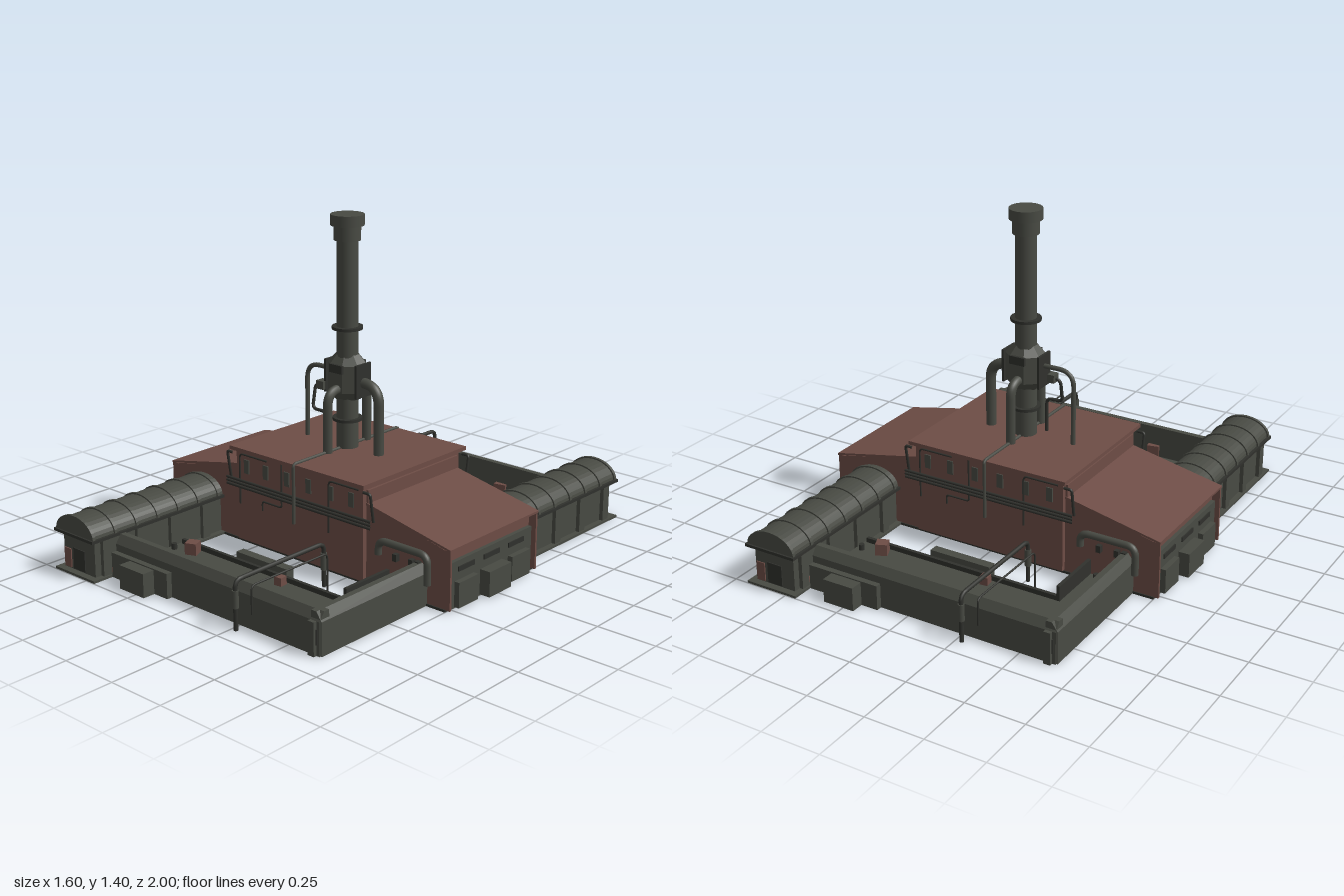
import * as THREE from 'three';

const red = new THREE.MeshStandardMaterial({ color: 0x6e4d46 });
red.name = 'rust red';
const grey = new THREE.MeshStandardMaterial({ color: 0x484a43 });
grey.name = 'iron grey';
const dark = new THREE.MeshStandardMaterial({ color: 0x30312d });
dark.name = 'dark iron';

function add(parent, name, geo, mat) {
  const m = new THREE.Mesh(geo, mat);
  m.name = name;
  parent.add(m);
  return m;
}

// box given by its lower and upper limits on each axis
function box(parent, name, mat, x0, x1, y0, y1, z0, z1) {
  const m = add(parent, name, new THREE.BoxGeometry(x1 - x0, y1 - y0, z1 - z0), mat);
  m.position.set((x0 + x1) / 2, (y0 + y1) / 2, (z0 + z1) / 2);
  return m;
}

// upright cylinder from y0 to y1
function drum(parent, name, mat, r0, r1, y0, y1, sides = 20, x = 0, z = 0) {
  const m = add(parent, name, new THREE.CylinderGeometry(r1, r0, y1 - y0, sides), mat);
  m.position.set(x, (y0 + y1) / 2, z);
  return m;
}

// pipe through corner points with rounded bends
function pipe(parent, name, mat, r, bend, pts) {
  const p = pts.map(a => new THREE.Vector3(...a));
  const path = new THREE.CurvePath();
  let from = p[0];
  for (let i = 1; i < p.length - 1; i++) {
    const a = p[i].clone().add(p[i - 1].clone().sub(p[i]).setLength(bend));
    const b = p[i].clone().add(p[i + 1].clone().sub(p[i]).setLength(bend));
    path.add(new THREE.LineCurve3(from, a));
    path.add(new THREE.QuadraticBezierCurve3(a, p[i], b));
    from = b;
  }
  path.add(new THREE.LineCurve3(from, p[p.length - 1]));
  return add(parent, name, new THREE.TubeGeometry(path, 48, r, 10), mat);
}

// outline in x,y pushed along z
function prism(parent, name, mat, pts, z0, z1) {
  const shape = new THREE.Shape(pts.map(a => new THREE.Vector2(...a)));
  const geo = new THREE.ExtrudeGeometry(shape, { depth: z1 - z0, bevelEnabled: false });
  geo.translate(0, 0, z0);
  return add(parent, name, geo, mat);
}

function addVault(g) {
  const v = new THREE.Group();
  v.name = 'barrelVault';
  v.position.x = -0.57;
  g.add(v);
  box(v, 'vaultFloor', grey, -0.12, 0.12, 0.005, 0.015, 0.28, 1);
  box(v, 'vaultBody', grey, -0.095, 0.095, 0.015, 0.18, 0.28, 0.97);
  box(v, 'vaultEaves', dark, -0.12, 0.12, 0.17, 0.182, 0.28, 1);
  const arch = (r, h) => Array.from({ length: 17 }, (_, i) => {
    const t = i / 16 * Math.PI;
    return [r * Math.cos(t), 0.18 + h * Math.sin(t)];
  });
  prism(v, 'vaultRoof', grey, arch(0.108, 0.073), 0.28, 0.985);
  for (let i = 0; i < 7; i++) {
    const z = 0.3 + i * 0.113;
    prism(v, 'vaultRib', grey, arch(0.115, 0.079), z, z + 0.014);
  }
  for (const s of [-1, 1]) for (let i = 0; i < 4; i++)
    box(v, 'vaultButtress', grey, s * 0.1 - 0.012, s * 0.1 + 0.012, 0.015, 0.17, 0.36 + i * 0.18, 0.4 + i * 0.18);
  box(v, 'endPanel', red, -0.09, -0.05, 0.02, 0.1, 0.968, 0.975);
  box(v, 'endDoor', dark, -0.035, 0.035, 0.02, 0.11, 0.968, 0.974);
  box(v, 'endCrate', red, 0.05, 0.1, 0.015, 0.04, 0.88, 0.93);
}

// low L-shaped yard with an outer parapet
function addYard(g) {
  box(g, 'yardFloor', grey, -0.46, 0.65, 0.005, 0.035, 0.52, 0.87);
  box(g, 'yardArmFloor', grey, 0.46, 0.65, 0.005, 0.035, 0.28, 0.52);
  const profile = [[0.6, 0.02], [0.66, 0.005], [0.66, 0.14], [0.635, 0.175], [0.61, 0.175]];
  prism(g, 'sideParapet', grey, profile, 0.28, 0.875);
  const front = prism(g, 'frontParapet', grey,
    profile.map(([u, y]) => [-u - 0.22, y]).reverse(), -0.45, 0.655);
  front.geometry.rotateY(Math.PI / 2);
  box(g, 'innerKerb', dark, -0.45, 0.47, 0.005, 0.055, 0.515, 0.53);
  box(g, 'innerArmKerb', dark, 0.455, 0.47, 0.005, 0.1, 0.28, 0.53);
  box(g, 'kerbCabinet', grey, -0.14, 0.14, 0.01, 0.08, 0.475, 0.515);
  box(g, 'frontLocker', grey, -0.45, -0.125, 0.005, 0.11, 0.87, 0.905);
  box(g, 'frontLockerBay', grey, -0.34, -0.2, 0.005, 0.105, 0.905, 0.96);
  box(g, 'cornerHatch', dark, 0.61, 0.645, 0.05, 0.11, 0.88, 0.886);
  box(g, 'cornerPost', grey, 0.61, 0.64, 0.005, 0.14, 0.875, 0.895);
  // crates and rivets on the yard floor
  [[-0.34, 0.57, 0.05, 0.4], [0.15, 0.56, 0.035, 0.1], [-0.19, 0.83, 0.055, 0.2]].forEach(([x, z, s, a]) => {
    const c = add(g, 'crate', new THREE.BoxGeometry(s, s, s), red);
    c.position.set(x, 0.035 + s / 2, z);
    c.rotation.y = a;
  });
  for (const [x, z] of [[-0.43, 0.59], [0.62, 0.83], [0.51, 0.31], [0.59, 0.31]])
    drum(g, 'floorValve', dark, 0.012, 0.012, 0.03, 0.06, 10, x, z);
  // pipes bridging the parapet
  pipe(g, 'bridgePipe', dark, 0.009, 0.03, [[0.28, 0.01, 0.93], [0.28, 0.21, 0.93], [0.28, 0.21, 0.45], [0.28, 0.03, 0.45]]);
  for (const z of [0.93, 0.45])
    drum(g, 'bridgePipeSleeve', grey, 0.013, 0.013, 0.1, 0.17, 12, 0.28, z);
  pipe(g, 'thinBridgePipe', dark, 0.004, 0.02, [[0.335, 0.08, 0.9], [0.335, 0.195, 0.9], [0.335, 0.195, 0.49], [0.335, 0.03, 0.49]]);
}

// wall fittings on one long side of the hall
function addFacade(g) {
  for (const x of [-0.29, -0.18, -0.06, 0.06, 0.18, 0.29])
    box(g, 'window', grey, x - 0.014, x + 0.014, 0.32, 0.38, 0.298, 0.305);
  for (const y of [0.258, 0.272, 0.286])
    pipe(g, 'wallPipe', dark, 0.006, 0.01, [[-0.4, y, 0.31], [0, y, 0.31], [0.4, y, 0.31]]);
  pipe(g, 'roofDrain', grey, 0.007, 0.015, [[0, 0.435, 0.05], [0, 0.435, 0.325], [0, 0.18, 0.325]]);
  pipe(g, 'wallConduit', dark, 0.004, 0.012, [[-0.2, 0.18, 0.302], [-0.2, 0.22, 0.302], [-0.09, 0.22, 0.302], [-0.09, 0.41, 0.302]]);
  for (const x of [-0.33, 0.17])
    pipe(g, 'wallConduit', dark, 0.004, 0.02, [[x, 0.18, 0.302], [x, 0.4, 0.302], [x + 0.16, 0.4, 0.302]]);
  for (const s of [-1, 1])
    pipe(g, 'cornerLoop', dark, 0.006, 0.012, [[s * 0.36, 0.4, 0.31], [s * 0.395, 0.4, 0.31], [s * 0.395, 0.28, 0.29]]);
  pipe(g, 'elbowPipe', grey, 0.015, 0.04, [[0.43, 0.16, 0.3], [0.43, 0.22, 0.3], [0.675, 0.22, 0.3], [0.675, 0.1, 0.3]]);
  for (const x of [0.51, 0.59, 0.62])
    box(g, 'wallValve', dark, x - 0.01, x + 0.01, 0.15, 0.18, 0.28, 0.3);
  // end wall at +x
  for (const z of [0.27, -0.28])
    box(g, 'wingSideWall', red, 0.73, 0.77, 0.012, 0.255, z, z + 0.01);
  prism(g, 'wingRoof', red, [[0.35, 0.338], [0.772, 0.253], [0.772, 0.262], [0.35, 0.348]], -0.283, 0.283);
  box(g, 'endWall', grey, 0.73, 0.752, 0.005, 0.195, -0.265, 0.265);
  box(g, 'endCabinet', grey, 0.75, 0.8, 0.01, 0.115, -0.07, 0.07);
  for (const z of [-0.17, 0.17])
    box(g, 'endCabinet', grey, 0.75, 0.775, 0.01, 0.115, z - 0.06, z + 0.06);
  for (const z of [-0.16, 0, 0.16])
    box(g, 'endVent', dark, 0.752, 0.757, 0.15, 0.17, z - 0.05, z + 0.05);
  box(g, 'sidePanel', red, 0.35, 0.36, 0.33, 0.4, -0.28, 0.28);
}

function addHall(g) {
  box(g, 'hallBase', dark, -0.75, 0.75, 0.004, 0.014, -0.285, 0.285);
  prism(g, 'hall', red, [[-0.735, 0.012], [0.735, 0.012], [0.735, 0.257], [0.35, 0.34], [-0.35, 0.34], [-0.735, 0.257]], -0.28, 0.28);
  box(g, 'centralBlock', red, -0.35, 0.35, 0.02, 0.418, -0.3, 0.3);
  box(g, 'centralRoof', red, -0.37, 0.37, 0.416, 0.432, -0.322, 0.322);
}

function addChimney(g) {
  const c = new THREE.Group();
  c.name = 'chimney';
  g.add(c);
  drum(c, 'stack', grey, 0.046, 0.044, 0.43, 1.31, 24);
  drum(c, 'stackNeck', grey, 0.055, 0.055, 1.3, 1.365, 24);
  drum(c, 'stackCap', grey, 0.069, 0.069, 1.36, 1.405, 24);
  drum(c, 'upperFlange', dark, 0.064, 0.064, 0.934, 0.946, 24);
  drum(c, 'lowerFlange', dark, 0.062, 0.062, 0.548, 0.56, 24);
  // faceted junction box
  const oct = [[0.055, 0.085, 0.64, 0.675], [0.085, 0.085, 0.675, 0.79], [0.085, 0.05, 0.79, 0.83]];
  for (const [a, b, y0, y1] of oct) {
    const m = drum(c, 'junction', grey, a, b, y0, y1, 8);
    m.geometry = m.geometry.toNonIndexed();
    m.geometry.computeVertexNormals();
    m.rotation.y = Math.PI / 8;
    m.scale.z = 0.8;
  }
  for (const s of [-1, 1]) {
    box(c, 'junctionFlange', dark, s * 0.084 - 0.005, s * 0.084 + 0.005, 0.66, 0.8, -0.045, 0.045);
    box(c, 'junctionHatch', dark, -0.035, 0.035, 0.76, 0.795, s * 0.068 - 0.006, s * 0.068 + 0.006);
    pipe(c, 'crossPipe', grey, 0.02, 0.06, [[0, 0.69, s * 0.04], [0, 0.69, s * 0.12], [0, 0.43, s * 0.12]]);
  }
  pipe(c, 'thickPipe', grey, 0.022, 0.08, [[0.07, 0.72, 0], [0.17, 0.72, 0], [0.17, 0.43, 0]]);
  pipe(c, 'longPipe', grey, 0.01, 0.07, [[-0.07, 0.75, 0], [-0.225, 0.75, 0], [-0.225, 0.43, 0]]);
  box(c, 'valveBox', grey, -0.12, -0.08, 0.67, 0.705, 0.02, 0.06);
  pipe(c, 'bypassPipe', dark, 0.007, 0.025, [[-0.08, 0.685, 0.04], [-0.14, 0.685, 0.04], [-0.14, 0.58, 0.06], [-0.065, 0.58, 0.06], [-0.065, 0.43, 0.06]]);
}

export function createModel() {
  const model = new THREE.Group();
  model.name = 'boilerHouse';
  addHall(model);
  addChimney(model);
  // the outbuildings repeat under a half turn
  for (const turn of [0, Math.PI]) {
    const half = new THREE.Group();
    half.name = turn ? 'backHalf' : 'frontHalf';
    addVault(half);
    addYard(half);
    addFacade(half);
    half.rotation.y = turn;
    model.add(half);
  }
  return model;
}
